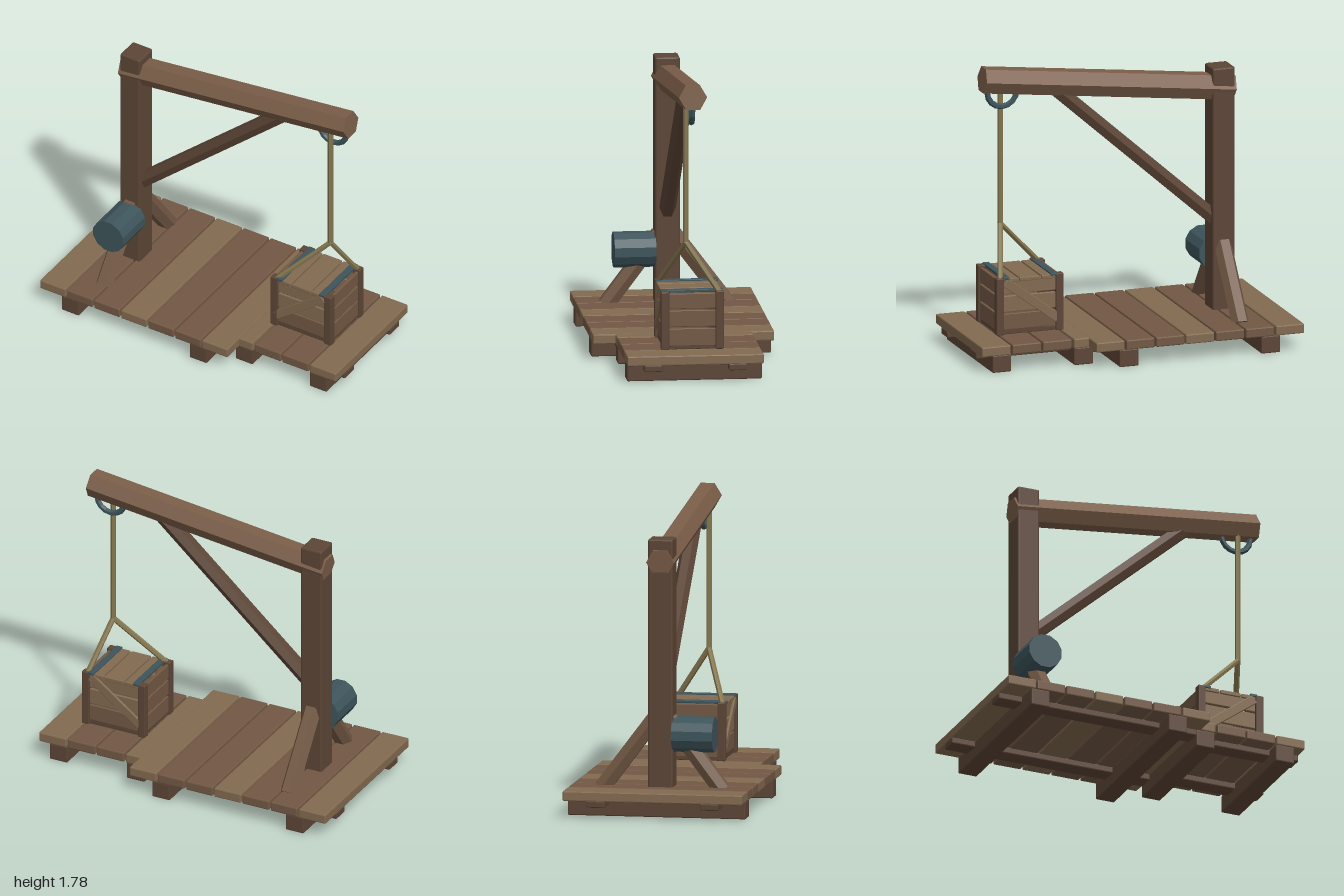
import * as THREE from 'three';
import { RoundedBoxGeometry } from 'three/addons/geometries/RoundedBoxGeometry.js';

const mat = (color) => new THREE.MeshStandardMaterial({ color, flatShading: true });
const LIGHT = mat(0x826a50), MID = mat(0x725844), DARK = mat(0x5c4536);
const BOOM = mat(0x7a5d48), METAL = mat(0x3d545b), ROPE = mat(0x85774f);

export function createModel() {
  const model = new THREE.Group();

  const group = (name) => {
    const g = new THREE.Group();
    g.name = name;
    model.add(g);
    return g;
  };
  const add = (parent, name, geometry, material) => {
    const mesh = new THREE.Mesh(geometry, material);
    mesh.name = name;
    parent.add(mesh);
    return mesh;
  };
  // Softly chamfered box given by its limits on each axis
  const box = (parent, name, [x0, x1], [y0, y1], [z0, z1], material, bevel = 0.007) => {
    const mesh = add(parent, name, new RoundedBoxGeometry(x1 - x0, y1 - y0, z1 - z0, 1, bevel), material);
    mesh.position.set((x0 + x1) / 2, (y0 + y1) / 2, (z0 + z1) / 2);
    return mesh;
  };
  // Six-sided bar between two points; a pair of its corners points along "side"
  const bar = (parent, name, from, to, radius, material, side = [0, 0, 1]) => {
    const a = new THREE.Vector3(...from), b = new THREE.Vector3(...to);
    const y = b.clone().sub(a), length = y.length();
    y.normalize();
    const x = y.clone().cross(new THREE.Vector3(...side)).normalize();
    const z = x.clone().cross(y);
    const mesh = add(parent, name, new THREE.CylinderGeometry(radius, radius, length, 6), material);
    mesh.quaternion.setFromRotationMatrix(new THREE.Matrix4().makeBasis(x, y, z));
    mesh.position.copy(a).add(b).multiplyScalar(0.5);
    return mesh;
  };

  // Wide deck and narrow deck: planks, stringers and cross beams
  const pitch = 0.19, width = 0.179;
  const deck = group('wideDeck');
  for (let i = 0; i < 7; i++) {
    const x = -1 + i * pitch;
    box(deck, 'plank', [x, x + width], [0.105, 0.165], [-0.545, 0.545], i % 3 ? MID : LIGHT);
  }
  const landing = group('narrowDeck');
  box(landing, 'plank', [0.315, 0.413], [0.105, 0.165], [-0.41, 0.41], LIGHT);
  for (let i = 0; i < 3; i++) {
    const x = 0.427 + i * 0.194;
    box(landing, 'plank', [x, x + 0.183], [0.105, 0.165], [-0.41, 0.41], i < 2 ? MID : LIGHT);
  }
  for (const s of [-1, 1]) {
    const strip = (c) => [s * c - 0.055, s * c + 0.055];
    box(deck, 'stringer', [-1, 0.31], [0.068, 0.11], strip(0.345), DARK);
    box(landing, 'stringer', [0.31, 1], [0.068, 0.11], strip(0.255), DARK);
  }
  for (const x of [-0.85, 0.05]) box(deck, 'crossBeam', [x, x + 0.12], [0, 0.107], [-0.54, 0.54], DARK);
  for (const x of [0.29, 0.81]) box(landing, 'crossBeam', [x, x + 0.12], [0, 0.107], [-0.405, 0.405], DARK);

  // Crane frame: post, sloping boom, long brace and side struts
  const crane = group('crane');
  box(crane, 'post', [-0.73, -0.59], [0.13, 1.66], [-0.075, 0.075], DARK, 0.01);
  bar(crane, 'boom', [-0.737, 1.52, 0], [0.85, 1.707, 0], 0.085, BOOM);
  bar(crane, 'boomBrace', [-0.63, 0.71, 0], [0.375, 1.602, 0], 0.05, DARK);
  for (const s of [-1, 1]) {
    bar(crane, 'sideStrut', [-0.66, 0.145, s * 0.365], [-0.66, 0.57, s * 0.045], 0.055, MID, [1, 0, 0]);
  }

  // Winding drum on the front of the post
  const drum = add(crane, 'windingDrum', new THREE.CylinderGeometry(0.108, 0.108, 0.25, 12).rotateY(Math.PI / 12).rotateX(Math.PI / 2), METAL);
  drum.position.set(-0.66, 0.48, 0.195);

  // Ring under the boom tip
  const ring = add(crane, 'pulleyRing', new THREE.TorusGeometry(0.094, 0.018, 6, 16), METAL);
  ring.position.set(0.725, 1.625, 0);

  // Rope with two slings down to opposite crate corners
  const rope = group('rope');
  const knot = [0.725, 0.8, 0.03];
  bar(rope, 'hoistRope', [0.725, 1.64, 0.03], knot, 0.017, ROPE);
  bar(rope, 'sling', knot, [0.435, 0.505, 0.165], 0.017, ROPE);
  bar(rope, 'sling', knot, [0.795, 0.505, -0.165], 0.017, ROPE);
  add(rope, 'knot', new THREE.IcosahedronGeometry(0.019, 0), ROPE).position.set(...knot);

  // Crate: corner posts, slatted walls, lid planks and metal straps
  const crate = group('crate');
  const bottom = 0.165;
  for (const x of [0.4, 0.777]) {
    for (const z of [-0.188, 0.14]) {
      box(crate, 'cornerPost', [x, x + 0.048], [bottom, 0.517], [z, z + 0.048], DARK, 0.005);
    }
  }
  box(crate, 'crateFloor', [0.415, 0.81], [bottom, 0.2], [-0.172, 0.172], DARK, 0.004);
  [[0.185, 0.292], [0.302, 0.402], [0.412, 0.505]].forEach((y, i) => {
    const m = i ? LIGHT : MID;
    for (const s of [-1, 1]) {
      box(crate, 'longSlat', [0.43, 0.795], y, [s * 0.162 - 0.01, s * 0.162 + 0.01], m, 0.004);
      const cx = 0.6125 + s * 0.192;
      box(crate, 'endSlat', [cx - 0.01, cx + 0.01], y, [-0.155, 0.155], MID, 0.004);
    }
  });
  for (const s of [-1, 1]) {
    const diagonal = add(crate, 'diagonalBoard', new RoundedBoxGeometry(0.42, 0.056, 0.016, 1, 0.004), LIGHT);
    diagonal.position.set(0.6, 0.365, s * 0.18);
    diagonal.rotation.z = 0.64;
  }
  for (const x of [[0.45, 0.538], [0.548, 0.677], [0.687, 0.775]]) {
    box(crate, 'lidPlank', x, [0.488, 0.513], [-0.182, 0.182], LIGHT, 0.004);
  }
  for (const x of [0.442, 0.742]) {
    box(crate, 'metalStrap', [x, x + 0.04], [0.505, 0.522], [-0.188, 0.188], METAL, 0.003);
  }

  return model;
}
